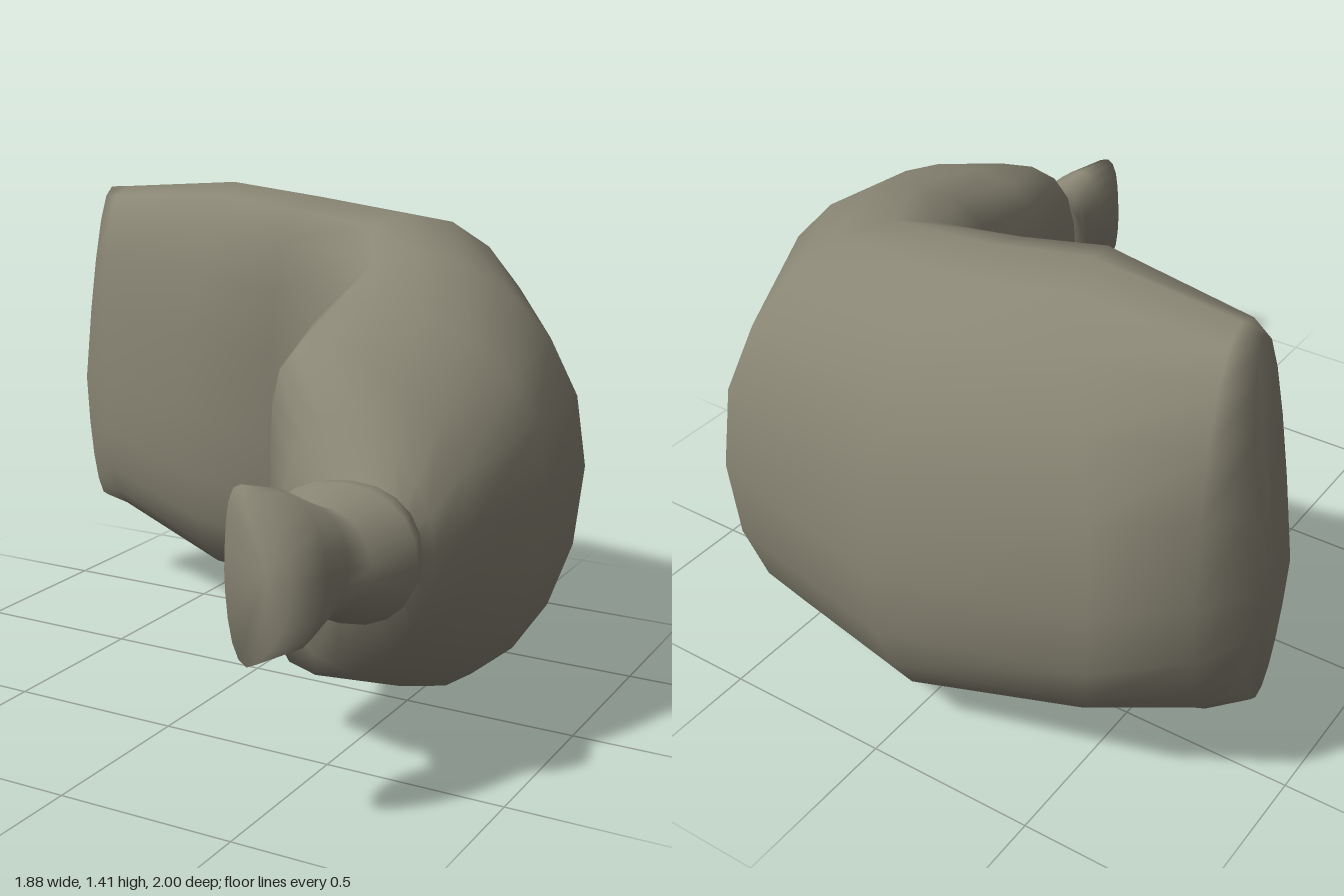
import * as THREE from 'three';

const SIDES = 20;

// Skins upright cross-sections into one smooth closed-ended surface.
// in/out: plan [x, z] of the inner and outer edges; y: [bottom, widest, top];
// lean/foot: [x, z] shift of the top and of the bottom; n: squareness;
// curve: 1 spreads the shift evenly, 2 keeps the sides upright.
function loft(sections, startCap, endCap) {
  const pos = [], index = [];
  for (const s of sections) {
    const { lean = [0, 0], foot = [0, 0], n = 2.3, curve = 2 } = s;
    const [bottom, waist, top] = s.y;
    for (let j = 0; j < SIDES; j++) {
      const a = (j / SIDES) * Math.PI * 2;
      const round = (v) => Math.sign(v) * Math.pow(Math.abs(v), 2 / n);
      const c = round(Math.cos(a)), u = round(Math.sin(a));
      const shift = u > 0 ? lean : foot, k = Math.pow(Math.abs(u), curve);
      const plan = (i) => (s.in[i] + s.out[i]) / 2 + c * (s.out[i] - s.in[i]) / 2 + k * shift[i];
      pos.push(plan(0), waist + u * (u > 0 ? top - waist : waist - bottom), plan(1));
    }
  }
  for (let i = 0; i < sections.length - 1; i++) {
    for (let j = 0; j < SIDES; j++) {
      const k = (j + 1) % SIDES, a = i * SIDES, b = a + SIDES;
      index.push(a + j, a + k, b + j, a + k, b + k, b + j);
    }
  }
  const cap = (centre, ring, flip) => {
    const c = pos.length / 3;
    pos.push(...centre);
    for (let j = 0; j < SIDES; j++) {
      const k = (j + 1) % SIDES;
      index.push(c, ring + (flip ? k : j), ring + (flip ? j : k));
    }
  };
  if (startCap) cap(startCap, 0, true);
  if (endCap) cap(endCap, (sections.length - 1) * SIDES, false);
  const g = new THREE.BufferGeometry();
  g.setAttribute('position', new THREE.Float32BufferAttribute(pos, 3));
  g.setIndex(index);
  g.computeVertexNormals();
  return g;
}

export function createModel() {
  const group = new THREE.Group();
  group.name = 'sandbag';
  const canvas = new THREE.MeshStandardMaterial({ color: 0x8a8675 });
  canvas.name = 'drab canvas';

  // Section where the bag is gathered into the neck
  const throat = { in: [0.48, 0.59], out: [0.77, 0.57], y: [0.53, 0.67, 0.81], n: 2 };

  // Filled bag, bent round a corner
  const body = new THREE.Mesh(loft([
    { in: [-0.94, -0.46], out: [-0.94, -0.63], y: [0.29, 0.72, 1.37], lean: [0.09, 0.04], foot: [0.035, 0.02], curve: 1 },
    { in: [-0.8, -0.37], out: [-0.85, -0.78], y: [0.27, 0.74, 1.375], lean: [0.04, 0.08], foot: [0.02, 0.02], n: 2.4 },
    { in: [-0.41, -0.23], out: [-0.63, -0.91], y: [0.14, 0.7, 1.41], lean: [0.16, 0.09], foot: [0.1, 0.04] },
    { in: [-0.12, -0.29], out: [-0.02, -1.0], y: [0.08, 0.63, 1.375], lean: [0, 0.13], n: 2.4 },
    { in: [0.06, -0.32], out: [0.55, -0.9], y: [0.02, 0.68, 1.34], lean: [-0.06, 0.12], foot: [0.02, 0.07] },
    { in: [0.17, -0.1], out: [0.89, -0.32], y: [0.0, 0.68, 1.27], lean: [-0.12, 0.02], foot: [-0.05, 0.04], n: 2.2 },
    { in: [0.22, 0.15], out: [0.94, 0.12], y: [0.1, 0.73, 1.18], lean: [-0.14, 0], foot: [-0.04, 0] },
    { in: [0.27, 0.4], out: [0.85, 0.4], y: [0.2, 0.68, 1.1], lean: [-0.15, -0.03], foot: [-0.15, 0], n: 2.1 },
    { in: [0.37, 0.52], out: [0.8, 0.52], y: [0.29, 0.64, 0.92], lean: [-0.05, -0.03], foot: [-0.05, 0], n: 2.1 },
    throat,
  ], [-0.94, 0.72, -0.55]), canvas);
  body.name = 'bagBody';

  // Tied neck: rolled collar, pinch, then a twisted flare with a hollow mouth
  const neck = new THREE.Mesh(loft([
    throat,
    { in: [0.43, 0.62], out: [0.8, 0.59], y: [0.48, 0.65, 0.82], n: 2.2 },
    { in: [0.41, 0.67], out: [0.82, 0.66], y: [0.47, 0.65, 0.83], n: 2.2 },
    { in: [0.47, 0.76], out: [0.73, 0.73], y: [0.52, 0.65, 0.79], n: 2 },
    { in: [0.5, 0.81], out: [0.7, 0.79], y: [0.51, 0.66, 0.81], n: 2 },
    { in: [0.48, 0.88], out: [0.68, 0.86], y: [0.47, 0.66, 0.85], lean: [-0.03, -0.02], foot: [0.02, 0.02], n: 2 },
    { in: [0.45, 0.94], out: [0.64, 0.96], y: [0.455, 0.66, 0.875], lean: [-0.05, -0.01], foot: [0, 0.05], n: 1.8 },
  ], null, [0.54, 0.66, 0.9]), canvas);
  neck.name = 'tiedNeck';

  group.add(body, neck);
  return group;
}
